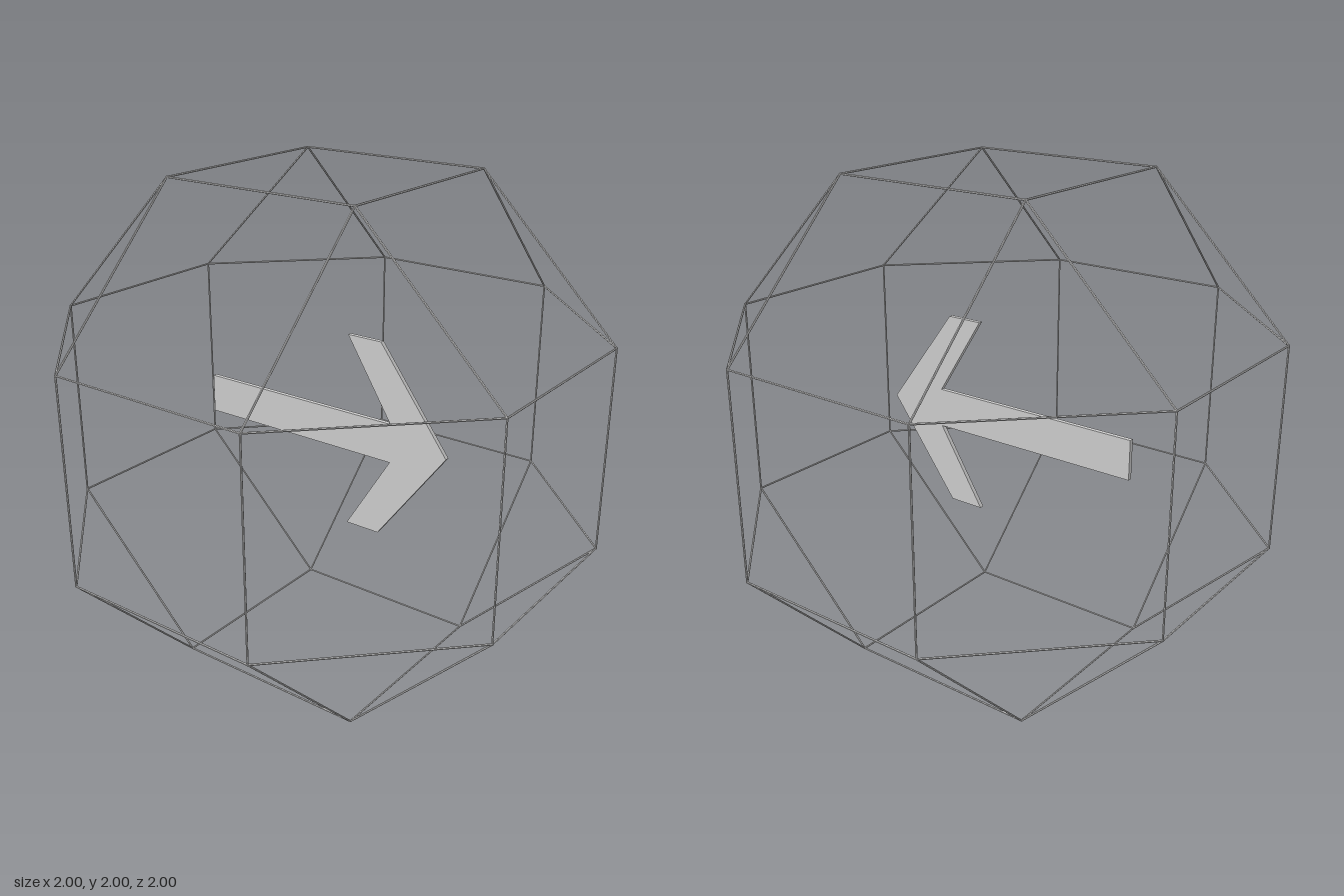
import * as THREE from 'three';

const CENTRE_Y = 1;
const OUTER = 0.996;                       // centre line of the outermost rods
const INNER = OUTER * (Math.SQRT2 - 1);    // half an edge length
const ROD = 0.004;                         // rod radius

// The 24 corners of a rhombicuboctahedron: one long coordinate, two short ones
function cageCorners() {
  const corners = [];
  for (let axis = 0; axis < 3; axis++)
    for (const a of [-1, 1]) for (const b of [-1, 1]) for (const c of [-1, 1]) {
      const p = [a * INNER, b * INNER, c * INNER];
      p[axis] *= OUTER / INNER;
      corners.push(new THREE.Vector3(...p));
    }
  return corners;
}

function rodBetween(a, b, material) {
  const dir = b.clone().sub(a);
  const rod = new THREE.Mesh(new THREE.CylinderGeometry(ROD, ROD, dir.length() + ROD, 6), material);
  rod.position.copy(a).add(b).multiplyScalar(0.5);
  rod.quaternion.setFromUnitVectors(new THREE.Vector3(0, 1, 0), dir.normalize());
  rod.name = 'cageRod';
  return rod;
}

export function createModel() {
  const model = new THREE.Group();
  model.name = 'arrowInCage';
  const grey = new THREE.MeshStandardMaterial({ color: 0xcccccc, flatShading: true });

  // Wire cage: a rod between every pair of neighbouring corners
  const cage = new THREE.Group();
  cage.name = 'wireCage';
  cage.position.y = CENTRE_Y;
  const corners = cageCorners();
  corners.forEach((a, i) => {
    for (const b of corners.slice(i + 1))
      if (Math.abs(a.distanceTo(b) - 2 * INNER) < 0.01) cage.add(rodBetween(a, b, grey));
  });
  model.add(cage);

  // Flat arrow pointing to the front; upper half outline, mirrored below
  const upper = [[0.55, 0], [0.25, 0.4], [0.1, 0.4], [0.3, 0.08], [-0.6, 0.08]];
  const lower = upper.slice(1).reverse().map(([z, y]) => [z, -y]);
  const outline = new THREE.Shape([...upper, ...lower].map(([z, y]) => new THREE.Vector2(z, y)));
  const thickness = 0.018;
  const arrowGeometry = new THREE.ExtrudeGeometry(outline, { depth: thickness, bevelEnabled: false });
  arrowGeometry.translate(0, 0, -thickness / 2).rotateY(-Math.PI / 2);
  const arrow = new THREE.Mesh(arrowGeometry, grey);
  arrow.name = 'directionArrow';
  arrow.position.y = CENTRE_Y;
  model.add(arrow);

  return model;
}
